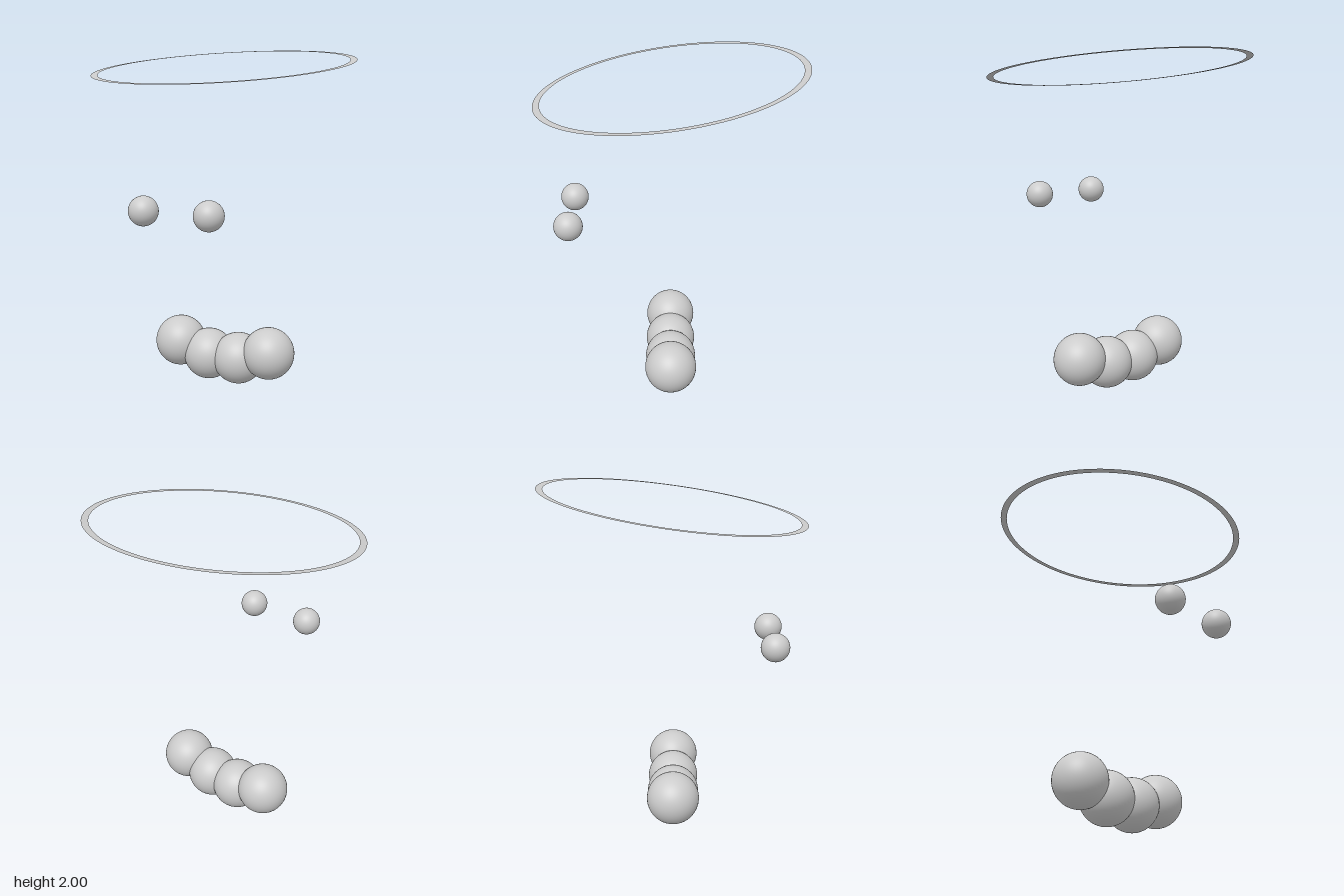
import * as THREE from 'three';

export function createModel() {
  const group = new THREE.Group();
  const grey = new THREE.MeshStandardMaterial({ color: 0xcccccc });

  function ball(name, radius, x, y, z) {
    const mesh = new THREE.Mesh(new THREE.SphereGeometry(radius, 48, 32), grey);
    mesh.name = name;
    mesh.position.set(x, y, z);
    group.add(mesh);
  }

  // Mirrored pairs: eyes, and the four overlapping balls of the smile
  for (const [side, s] of [['left', 1], ['right', -1]]) {
    ball(side + 'Eye', 0.083, s * 0.198, 1.12, 0.58);
    ball(side + 'OuterMouthBall', 0.154, s * 0.296, 0.213, 0);
    ball(side + 'InnerMouthBall', 0.154, s * 0.099, 0.156, 0);
  }

  // Thin flat halo, tilted down towards the front
  const halo = new THREE.Mesh(
    new THREE.RingGeometry(0.722, 0.76, 96),
    new THREE.MeshStandardMaterial({ color: 0xcccccc, side: THREE.DoubleSide })
  );
  halo.name = 'halo';
  halo.rotation.x = -Math.PI / 2 + 0.137;
  halo.position.y = 1.897;
  group.add(halo);

  return group;
}
